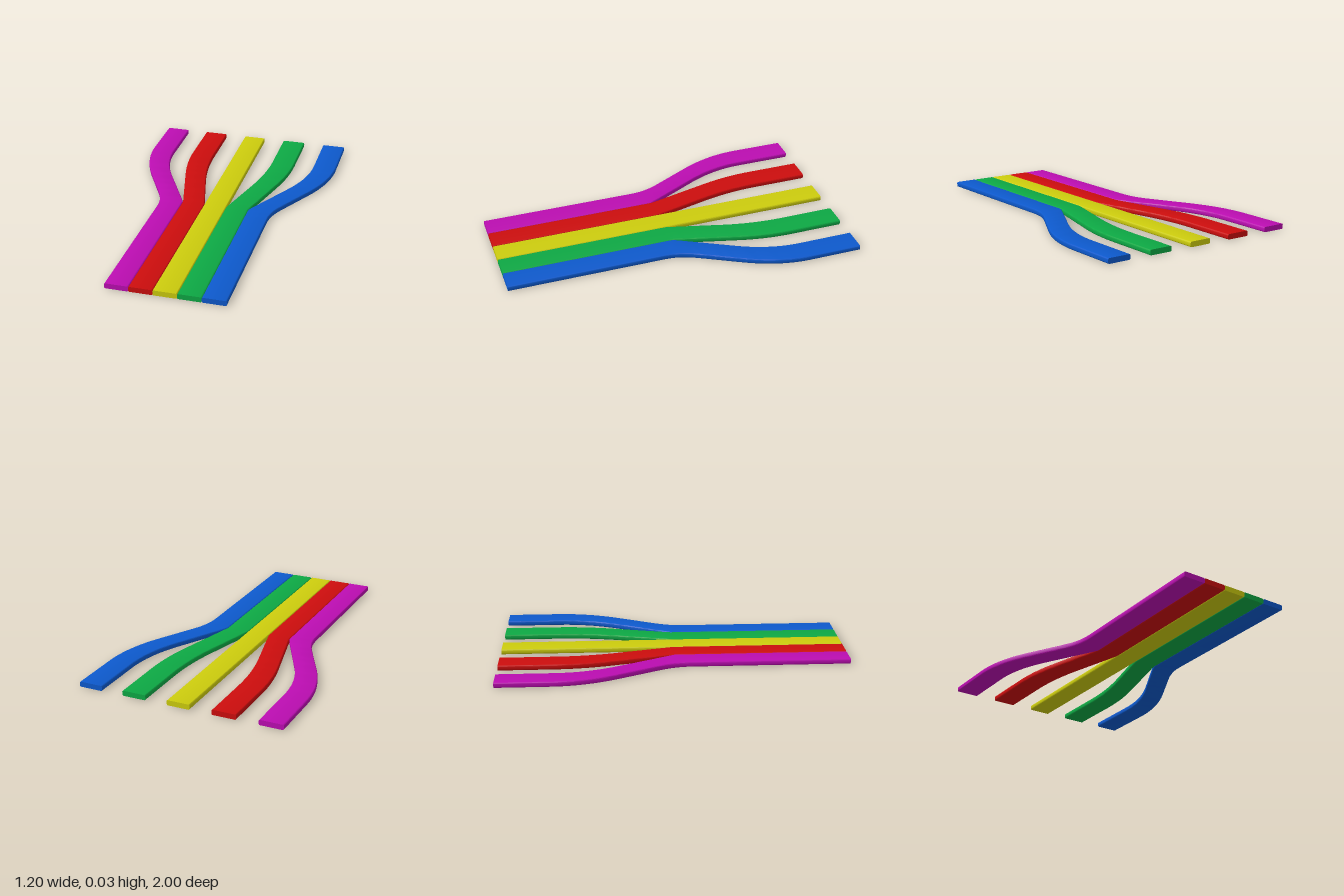
import * as THREE from 'three';
import { toCreasedNormals } from 'three/addons/utils/BufferGeometryUtils.js';

const HEIGHT = 0.03, RADIUS = 0.007;

// Straight line that bends smoothly from 0 to slope 1 around u = 0
const ramp = (u, w) => (u < -w ? 0 : u > w ? u : (u + w) ** 2 / (4 * w));

// Side edge of a strip: x0 at the front, drifting to x1 at the back
const edge = (x0, x1, b, wa, wb) => (z) =>
  x0 + ((x1 - x0) / b) * (ramp(-z, wa) - ramp(-z - b, wb));

// Stations along z, denser where the strips bend
const stations = [1, 0.12];
for (let z = 0.09; z > -0.75; z -= 0.03) stations.push(z);
stations.push(-1);

// Rounded rectangle between two side edges, counter-clockwise seen from +z
function section(left, right, z) {
  const points = [];
  const corners = [[right - RADIUS, RADIUS, -90], [right - RADIUS, HEIGHT - RADIUS, 0],
    [left + RADIUS, HEIGHT - RADIUS, 90], [left + RADIUS, RADIUS, 180]];
  for (const [cx, cy, start] of corners) {
    for (let i = 0; i <= 3; i++) {
      const a = THREE.MathUtils.degToRad(start + i * 30);
      points.push([cx + RADIUS * Math.cos(a), cy + RADIUS * Math.sin(a), z]);
    }
  }
  return points;
}

// Lofted strip with flat capped ends
function strip(leftEdge, rightEdge) {
  const positions = [], index = [];
  for (const z of stations) {
    for (const p of section(leftEdge(z), rightEdge(z), z)) positions.push(...p);
  }
  const n = 16, last = (stations.length - 1) * n;
  for (let s = 0; s < stations.length - 1; s++) {
    for (let i = 0; i < n; i++) {
      const a = s * n + i, b = s * n + ((i + 1) % n);
      index.push(a, a + n, b, b, a + n, b + n);
    }
  }
  for (let i = 1; i < n - 1; i++) {
    index.push(0, i, i + 1, last, last + i + 1, last + i);
  }
  const geometry = new THREE.BufferGeometry();
  geometry.setAttribute('position', new THREE.Float32BufferAttribute(positions, 3));
  geometry.setIndex(index);
  return toCreasedNormals(geometry, 0.6);
}

export function createModel() {
  const group = new THREE.Group();
  group.name = 'ribbonCable';

  const add = (name, colorName, color, leftEdge, rightEdge) => {
    const material = new THREE.MeshStandardMaterial({ color });
    material.name = colorName;
    const mesh = new THREE.Mesh(strip(leftEdge, rightEdge), material);
    mesh.name = name;
    group.add(mesh);
  };
  const mirror = (f) => (z) => -f(z);

  // Edges on the +x side
  const middle = () => 0.067;
  const innerNear = edge(0.067, 0.195, 0.5, 0.01, 0.18);
  const innerFar = edge(0.2, 0.335, 0.53, 0.01, 0.16);
  const outerNear = edge(0.2, 0.461, 0.496, 0.01, 0.18);
  const outerFar = edge(0.333, 0.6, 0.505, 0.09, 0.19);

  // Five strips, joined at the front and fanned out at the back
  add('outerRightStrip', 'magenta', 0xbb0db1, mirror(outerFar), mirror(outerNear));
  add('innerRightStrip', 'red', 0xcc0d0d, mirror(innerFar), mirror(innerNear));
  add('middleStrip', 'yellow', 0xcccc0d, mirror(middle), middle);
  add('innerLeftStrip', 'green', 0x0da844, innerNear, innerFar);
  add('outerLeftStrip', 'blue', 0x0d59cc, outerNear, outerFar);

  return group;
}
